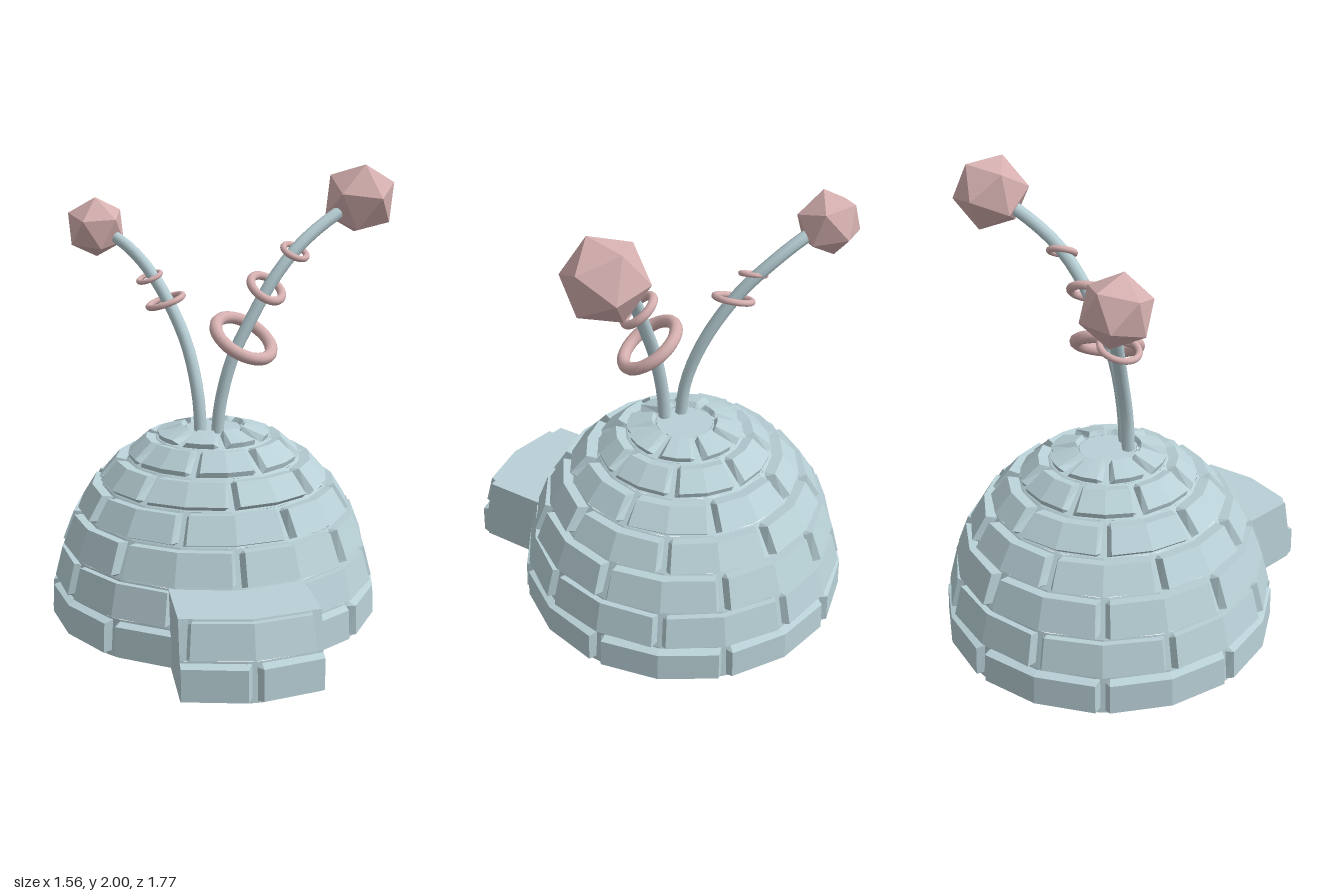
import * as THREE from 'three';

const blue = new THREE.MeshStandardMaterial({ color: 0xb8d0d6 });
const blueFlat = new THREE.MeshStandardMaterial({ color: 0xb8d0d6, flatShading: true, side: THREE.DoubleSide });
const pink = new THREE.MeshStandardMaterial({ color: 0xd6b0b0 });
const pinkFlat = new THREE.MeshStandardMaterial({ color: 0xd6b0b0, flatShading: true });
const V = (x, y, z) => new THREE.Vector3(x, y, z);

const CX = -0.05, CZ = -0.15, STEP = Math.PI / 8, PORCH_OUT = 0.29, PORCH_X = 0.283;

// block faces per course: [bottom y, bottom radius, top y, top radius]
const courses = [
  [0.015, 0.74, 0.145, 0.735], [0.18, 0.725, 0.315, 0.69], [0.34, 0.685, 0.47, 0.635],
  [0.495, 0.615, 0.6, 0.55], [0.625, 0.515, 0.71, 0.44], [0.735, 0.385, 0.805, 0.305],
  [0.825, 0.255, 0.858, 0.145],
];
// recessed joint surface at the course boundaries: [y, radius]
const joints = [[0, 0.715], [0.165, 0.7], [0.322, 0.662], [0.475, 0.59], [0.6, 0.5], [0.708, 0.385], [0.8, 0.255], [0.84, 0.125]];

const lerp = THREE.MathUtils.lerp;

function quadGeometry(quads) {
  const pos = [];
  for (const [a, b, c, d] of quads)
    for (const p of [a, b, c, a, c, d]) pos.push(p.x, p.y, p.z);
  const g = new THREE.BufferGeometry();
  g.setAttribute('position', new THREE.Float32BufferAttribute(pos, 3));
  g.computeVertexNormals();
  return g;
}

// One sector (half a block) as a 4 x 6 grid: joint, bevel foot, face edge, block middle
function sectorGrid(row, s, porch) {
  const seamFirst = (s + row) % 2 === 0;
  const [y0, r0, y1, r1] = courses[row];
  const [jy0, jr0] = joints[row], [jy1, jr1] = joints[row + 1];
  const levels = [0, 1, 2, 2, 1, 0], ts = [0, 0.05, 0.14, 0.86, 0.95, 1];
  const rMid = (r0 + r1) / 2;
  const insets = [0, 0.011 / rMid, 0.03 / rMid, STEP];
  const grid = insets.map((inset, u) => ts.map((t, v) => {
    const raised = u >= 2 && levels[v] === 2;
    const top = v > 2;
    const r = raised ? (top ? r1 : r0) : lerp(jr0, jr1, t);
    const y = raised ? (top ? y1 : y0) : lerp(jy0, jy1, t);
    const a = seamFirst ? s * STEP + inset : (s + 1) * STEP - inset;
    const p = V(CX + r * Math.sin(a), y, CZ + r * Math.cos(a));
    if (porch) {
      p.z += PORCH_OUT;
      if (Math.abs(Math.sin(a)) > Math.sin(STEP) - 1e-6) p.x = CX + Math.sign(Math.sin(a)) * PORCH_X;
    }
    return p;
  }));
  return seamFirst ? grid : grid.reverse(); // columns always run with growing angle
}

function buildBlocks() {
  const dome = [], porchFront = [], porchWalls = [];
  const back = p => V(p.x, p.y, p.z - PORCH_OUT - 0.04);
  for (let row = 0; row < 7; row++) {
    for (let s = 0; s < 16; s++) {
      const porch = row < 2 && (s === 0 || s === 15);
      const g = sectorGrid(row, s, porch);
      const out = porch ? porchFront : dome;
      for (let u = 0; u < 3; u++)
        for (let v = 0; v < 5; v++) out.push([g[u][v], g[u + 1][v], g[u + 1][v + 1], g[u][v + 1]]);
      if (!porch) continue;
      // side wall and roof run straight back into the dome
      const edge = s === 0 ? g[3] : g[0];
      for (let v = 0; v < 5; v++) {
        const a = edge[v], b = edge[v + 1];
        porchWalls.push(s === 0 ? [a, back(a), back(b), b] : [back(a), a, b, back(b)]);
      }
      if (row === 1)
        for (let u = 0; u < 3; u++) porchWalls.push([g[u][5], g[u + 1][5], back(g[u + 1][5]), back(g[u][5])]);
    }
  }
  return { domeBlocks: dome, porchFront, porchWalls };
}

// Curved stalk with a faceted ball on its end
function antenna(name, pts, ballRadius, rings) {
  const group = new THREE.Group();
  group.name = name;
  const curve = new THREE.CatmullRomCurve3(pts.map(p => V(...p)));
  const stalk = new THREE.Mesh(new THREE.TubeGeometry(curve, 20, 0.028, 8), blue);
  stalk.name = 'stalk';
  group.add(stalk);

  const ball = new THREE.Mesh(new THREE.IcosahedronGeometry(ballRadius, 0), pinkFlat);
  ball.name = 'ball';
  ball.position.copy(curve.getPoint(1));
  ball.quaternion.setFromUnitVectors(V(0, 0.8507, 0.5257).normalize(), curve.getTangent(1));
  group.add(ball);

  // loose rings: centre, axis, outer radius, thickness
  for (const [c, axis, radius, t] of rings) {
    const ring = new THREE.Mesh(new THREE.TorusGeometry(radius - t, t, 10, 32), pink);
    ring.name = 'ring';
    ring.position.set(...c);
    ring.quaternion.setFromUnitVectors(V(0, 0, 1), V(...axis).normalize());
    group.add(ring);
  }
  return group;
}

export function createModel() {
  const model = new THREE.Group();
  model.name = 'domeHut';

  // stacked block courses and the closed porch
  for (const [name, quads] of Object.entries(buildBlocks())) {
    const mesh = new THREE.Mesh(quadGeometry(quads), blueFlat);
    mesh.name = name;
    model.add(mesh);
  }

  // flat crown
  const crown = new THREE.Mesh(new THREE.CircleGeometry(0.125, 16), blueFlat);
  crown.name = 'crown';
  crown.rotation.x = -Math.PI / 2;
  crown.position.set(CX, 0.84, CZ);
  model.add(crown);

  model.add(antenna('leftAntenna',
    [[-0.05, 0.8, -0.05], [-0.035, 0.97, -0.045], [0.02, 1.18, -0.04], [0.1, 1.34, -0.045], [0.2, 1.51, -0.06],
      [0.32, 1.65, -0.09], [0.46, 1.755, -0.14], [0.623, 1.845, -0.205]], 0.168,
    [[[0.068, 1.26, -0.042], [0.45, 1, 0.55], 0.163, 0.028],
      [[0.17, 1.474, -0.055], [0.5, 1, 0.7], 0.096, 0.019],
      [[0.302, 1.627, -0.085], [0.35, 1, 0.5], 0.069, 0.014]]));

  model.add(antenna('rightAntenna',
    [[-0.115, 0.8, -0.09], [-0.125, 1.0, -0.11], [-0.165, 1.22, -0.18], [-0.25, 1.43, -0.29],
      [-0.34, 1.57, -0.4], [-0.43, 1.655, -0.48], [-0.53, 1.708, -0.547]], 0.142,
    [[[-0.245, 1.398, -0.265], [-0.35, 1, 0.02], 0.095, 0.014],
      [[-0.31, 1.5, -0.32], [-0.4, 1, 0.12], 0.064, 0.011]]));

  return model;
}
